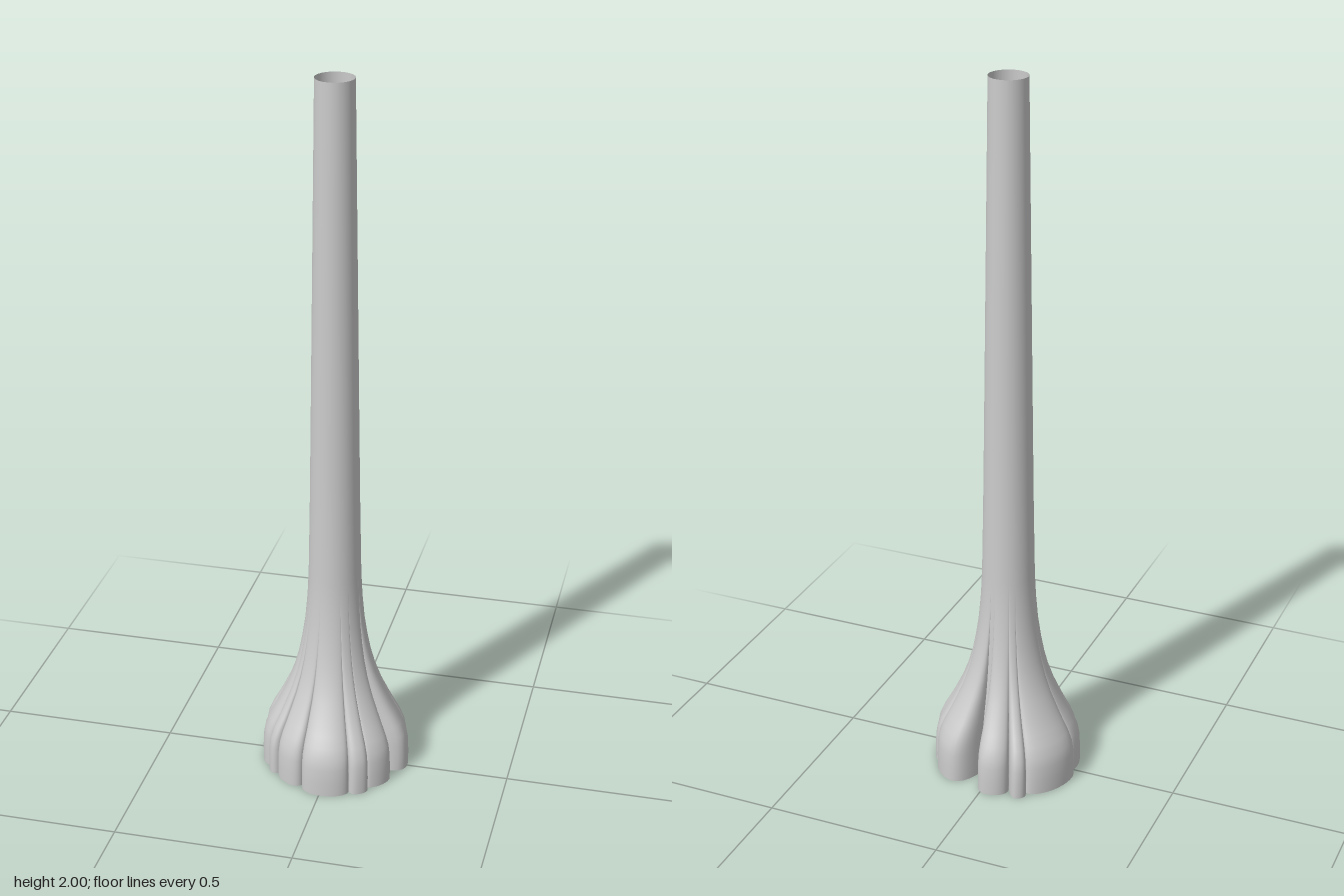
import * as THREE from 'three';

// Root lobes around the foot: [start angle in degrees, radius of the crease there, peak radius]
const LOBES = [
  [-19, 0.203, 0.211], [14.5, 0.105, 0.196], [47.5, 0.178, 0.203], [65, 0.178, 0.205],
  [109, 0.165, 0.195], [138, 0.178, 0.201], [151, 0.178, 0.207], [181.5, 0.195, 0.219],
  [233, 0.194, 0.223], [246.5, 0.168, 0.21], [278, 0.115, 0.118], [287.5, 0.115, 0.214],
  [328.5, 0.197, 0.208],
];
const STEPS = 16; // columns per lobe

// Heights with the plain tube radius and the share of root flare: [y, radius, flare]
const PROFILE = [
  [0, 0.09, 1], [0.04, 0.089, 1], [0.08, 0.088, 0.985], [0.11, 0.087, 0.94], [0.14, 0.086, 0.84],
  [0.17, 0.085, 0.71], [0.2, 0.084, 0.59], [0.25, 0.082, 0.41], [0.3, 0.081, 0.27],
  [0.35, 0.08, 0.17], [0.4, 0.079, 0.1], [0.46, 0.077, 0.045], [0.53, 0.075, 0.012],
  [0.6, 0.073, 0], [0.8, 0.069, 0], [1, 0.066, 0], [1.5, 0.059, 0], [2, 0.052, 0],
];
const TUBE_CENTRE = { x: -0.003, z: -0.006 };

// Angle and radius of every column of the foot outline
function footOutline() {
  const columns = [];
  LOBES.forEach(([start, crease, peak], i) => {
    const next = LOBES[(i + 1) % LOBES.length];
    const end = i === LOBES.length - 1 ? next[0] + 360 : next[0];
    for (let k = 0; k < STEPS; k++) {
      const t = -Math.cos((Math.PI * k) / STEPS); // denser near the creases
      const u = (t + 1) / 2;
      const low = THREE.MathUtils.lerp(crease, next[1], u);
      const bulge = Math.pow(Math.max(0, 1 - Math.pow(Math.abs(t), 2.5)), 0.4);
      columns.push({
        angle: THREE.MathUtils.degToRad(start + (end - start) * u),
        radius: low + (peak - low) * bulge,
      });
    }
  });
  return columns;
}

// Open trunk skin: each ring blends from the lobed foot to the round tube
function trunkGeometry() {
  const outline = footOutline();
  const n = outline.length;
  const positions = [];
  const indices = [];
  PROFILE.forEach(([y, tube, flare], row) => {
    outline.forEach(({ angle, radius }, i) => {
      const r = THREE.MathUtils.lerp(tube, radius, flare);
      const shift = 1 - flare;
      positions.push(
        Math.cos(angle) * r + TUBE_CENTRE.x * shift,
        y,
        Math.sin(angle) * r + TUBE_CENTRE.z * shift,
      );
      if (row === PROFILE.length - 1) return;
      const a = row * n + i;
      const b = row * n + ((i + 1) % n);
      indices.push(a, a + n, b, b, a + n, b + n);
    });
  });
  const geometry = new THREE.BufferGeometry();
  geometry.setAttribute('position', new THREE.Float32BufferAttribute(positions, 3));
  geometry.setIndex(indices);
  geometry.computeVertexNormals();
  return geometry;
}

export function createModel() {
  const group = new THREE.Group();
  group.name = 'treeTrunk';
  const material = new THREE.MeshStandardMaterial({ color: 0xcccccc, side: THREE.DoubleSide });
  const trunk = new THREE.Mesh(trunkGeometry(), material);
  trunk.name = 'trunkWithRoots';
  group.add(trunk);
  return group;
}
